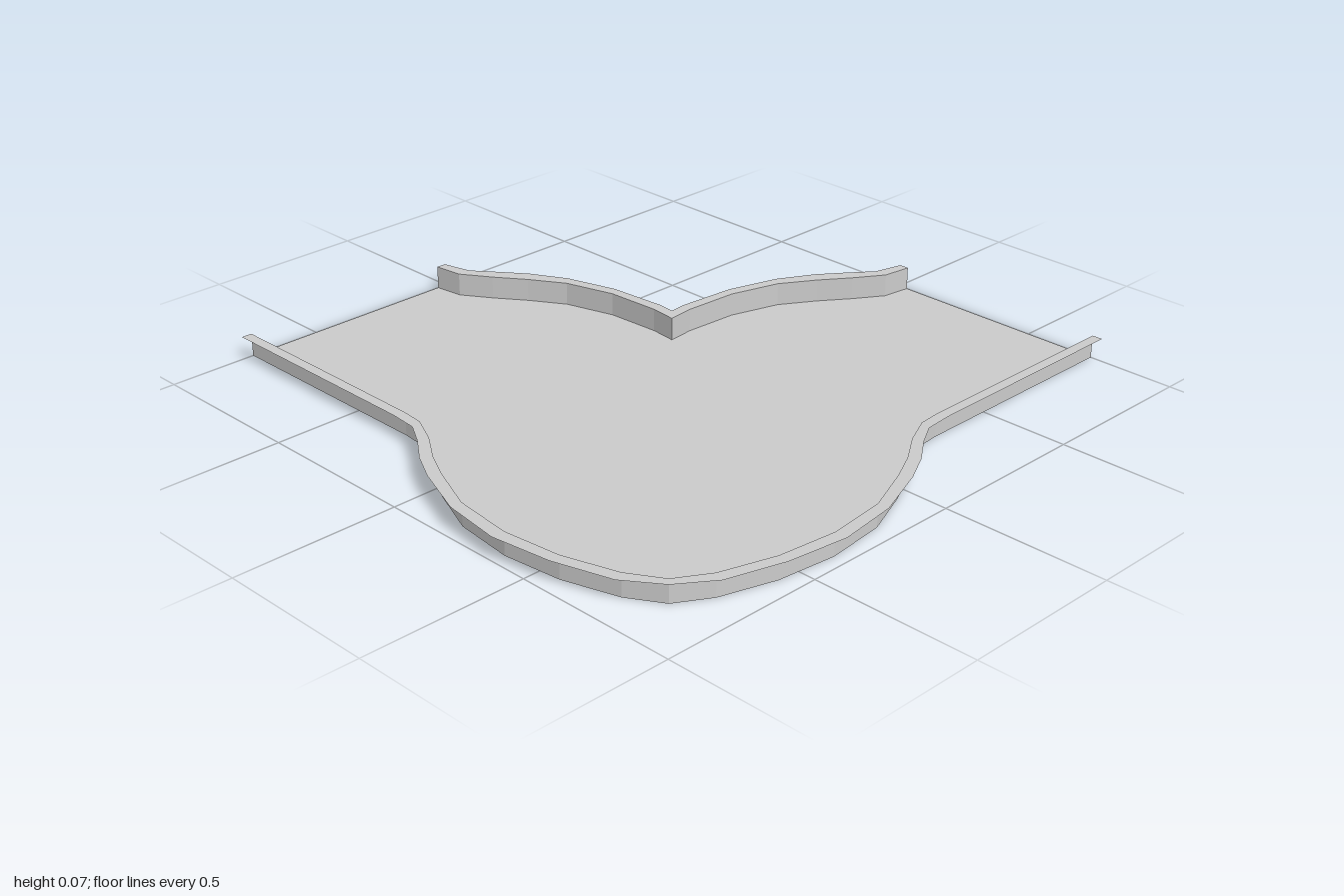
import * as THREE from 'three';

const HEIGHT = 0.07;

// Half outlines [x, z], each running from the open end to the diagonal symmetry line
const outerSide = {
  wall: [[1, 0.727], [0.29, 0.727], [0.22, 0.733], [0.13, 0.775], [0.04, 0.835], [-0.05, 0.88],
    [-0.2, 0.94], [-0.385, 0.96], [-0.565, 0.94], [-0.73, 0.89], [-0.83, 0.83]],
  lip: [[1, 0.76], [0.3, 0.76], [0.21, 0.767], [0.14, 0.807], [0.06, 0.865], [-0.03, 0.912],
    [-0.2, 0.976], [-0.385, 1], [-0.57, 0.976], [-0.745, 0.925], [-0.85, 0.85]],
};
const cornerSide = {
  wall: [[1, 0.03], [0.91, 0.018], [0.82, -0.04], [0.73, -0.105], [0.625, -0.17], [0.47, -0.215],
    [0.3, -0.225], [0.217, -0.217]],
  lip: [[1, 0], [0.91, -0.022], [0.83, -0.085], [0.76, -0.138], [0.65, -0.198], [0.49, -0.245],
    [0.31, -0.26], [0.255, -0.255]],
};

// Complete a half outline by reflecting it across the diagonal (x, z) -> (-z, -x)
const mirror = (half) => [...half, ...half.slice(0, -1).reverse().map(([x, z]) => [-z, -x])];

// Ribbon of quads between two matching lines at given heights
function ribbon(a, ya, b, yb) {
  const pos = [], index = [];
  a.forEach(([x, z], i) => {
    pos.push(x, ya, z, b[i][0], yb, b[i][1]);
    if (i > 0) {
      const k = 2 * i;
      index.push(k - 2, k, k - 1, k, k + 1, k - 1);
    }
  });
  const g = new THREE.BufferGeometry();
  g.setAttribute('position', new THREE.Float32BufferAttribute(pos, 3));
  g.setIndex(index);
  const flat = g.toNonIndexed();
  flat.computeVertexNormals();
  return flat;
}

export function createModel() {
  const group = new THREE.Group();
  group.name = 'curvedCornerTray';
  const material = new THREE.MeshStandardMaterial({
    color: 0xcccccc, flatShading: true, side: THREE.DoubleSide,
  });
  const add = (name, geometry) => {
    const mesh = new THREE.Mesh(geometry, material);
    mesh.name = name;
    group.add(mesh);
  };

  // Floor bounded by the two walls and the two straight open ends
  const outline = [...mirror(outerSide.wall), ...mirror(cornerSide.wall).reverse()];
  const shape = new THREE.Shape(outline.map(([x, z]) => new THREE.Vector2(x, -z)));
  add('floor', new THREE.ShapeGeometry(shape).rotateX(-Math.PI / 2));

  // Upright walls with a thin lip folded outward along the top
  for (const [name, side] of [['outer', outerSide], ['corner', cornerSide]]) {
    const wall = mirror(side.wall), lip = mirror(side.lip);
    add(name + 'Wall', ribbon(wall, 0, wall, HEIGHT));
    add(name + 'Lip', ribbon(wall, HEIGHT, lip, HEIGHT));
  }
  return group;
}
